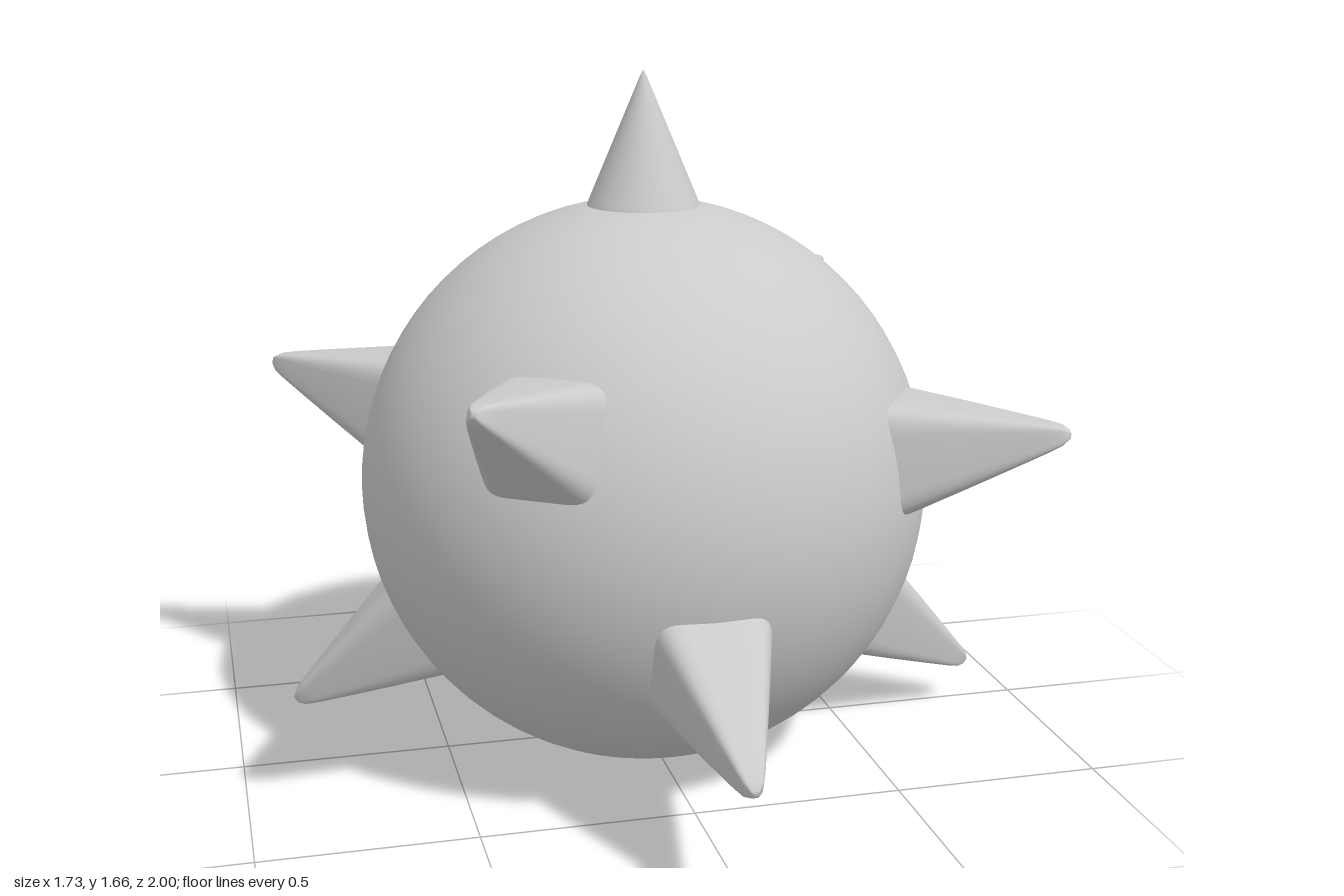
import * as THREE from 'three';

const CENTER = new THREE.Vector3(-0.01, 0.69, 0.04);
const material = new THREE.MeshStandardMaterial({ color: 0xcccccc });

// Spike along +z: rounded-square cross-sections [distance, half width] closing to a tip
function spikeGeometry() {
  const profile = [[0.6, 0.15], [0.68, 0.128], [0.8, 0.092], [0.92, 0.055], [0.99, 0.033], [1.02, 0.022], [1.036, 0.01]];
  const sides = 32, position = [], index = [];
  const soften = (v) => Math.sign(v) * Math.pow(Math.abs(v), 2 / 5);
  for (const [z, r] of profile) {
    for (let i = 0; i < sides; i++) {
      const a = (i / sides) * Math.PI * 2;
      position.push(r * soften(Math.cos(a)), r * soften(Math.sin(a)), z);
    }
  }
  position.push(0, 0, 1.04);
  const tip = profile.length * sides;
  for (let k = 0; k < profile.length; k++) {
    for (let i = 0; i < sides; i++) {
      const a = k * sides + i, b = k * sides + (i + 1) % sides;
      if (k === profile.length - 1) index.push(a, b, tip);
      else index.push(a, b, b + sides, a, b + sides, a + sides);
    }
  }
  const g = new THREE.BufferGeometry();
  g.setAttribute('position', new THREE.Float32BufferAttribute(position, 3));
  g.setIndex(index);
  g.computeVertexNormals();
  return g;
}

export function createModel() {
  const model = new THREE.Group();
  model.name = 'spikedBall';
  const add = (name, geometry) => {
    const mesh = new THREE.Mesh(geometry, material);
    mesh.name = name;
    mesh.position.copy(CENTER);
    model.add(mesh);
    return mesh;
  };

  // Round body
  add('body', new THREE.SphereGeometry(0.68, 64, 40));

  // Round top spike with a slightly blunt tip
  const cone = [[0, 0.665], [0.133, 0.665], [0.128, 0.68], [0.008, 0.965], [0, 0.98]];
  add('topSpike', new THREE.LatheGeometry(cone.slice(1).map(([r, y]) => new THREE.Vector2(r, y)), 48));
  const base = add('topSpikeBase', new THREE.CircleGeometry(0.133, 48));
  base.rotation.x = Math.PI / 2;
  base.position.y += 0.665;

  // Square-sided spikes, pointing outward with their sides kept upright
  const directions = {
    frontSpike: [0, -0.4, 0.96],
    backSpike: [0, 0, -1.04],
    upperFrontRightSpike: [-0.53, 0.39, 0.79],
    upperBackLeftSpike: [0.68, 0.39, -0.69],
    frontLeftSpike: [0.85, 0.2, 0.56],
    backRightSpike: [-0.85, 0.21, -0.57],
    lowerLeftSpike: [0.87, -0.57, -0.01],
    lowerRightSpike: [-0.85, -0.57, -0.17],
  };
  const spike = spikeGeometry();
  for (const [name, d] of Object.entries(directions)) {
    const mesh = add(name, spike);
    mesh.lookAt(new THREE.Vector3(...d).add(CENTER));
  }
  return model;
}
